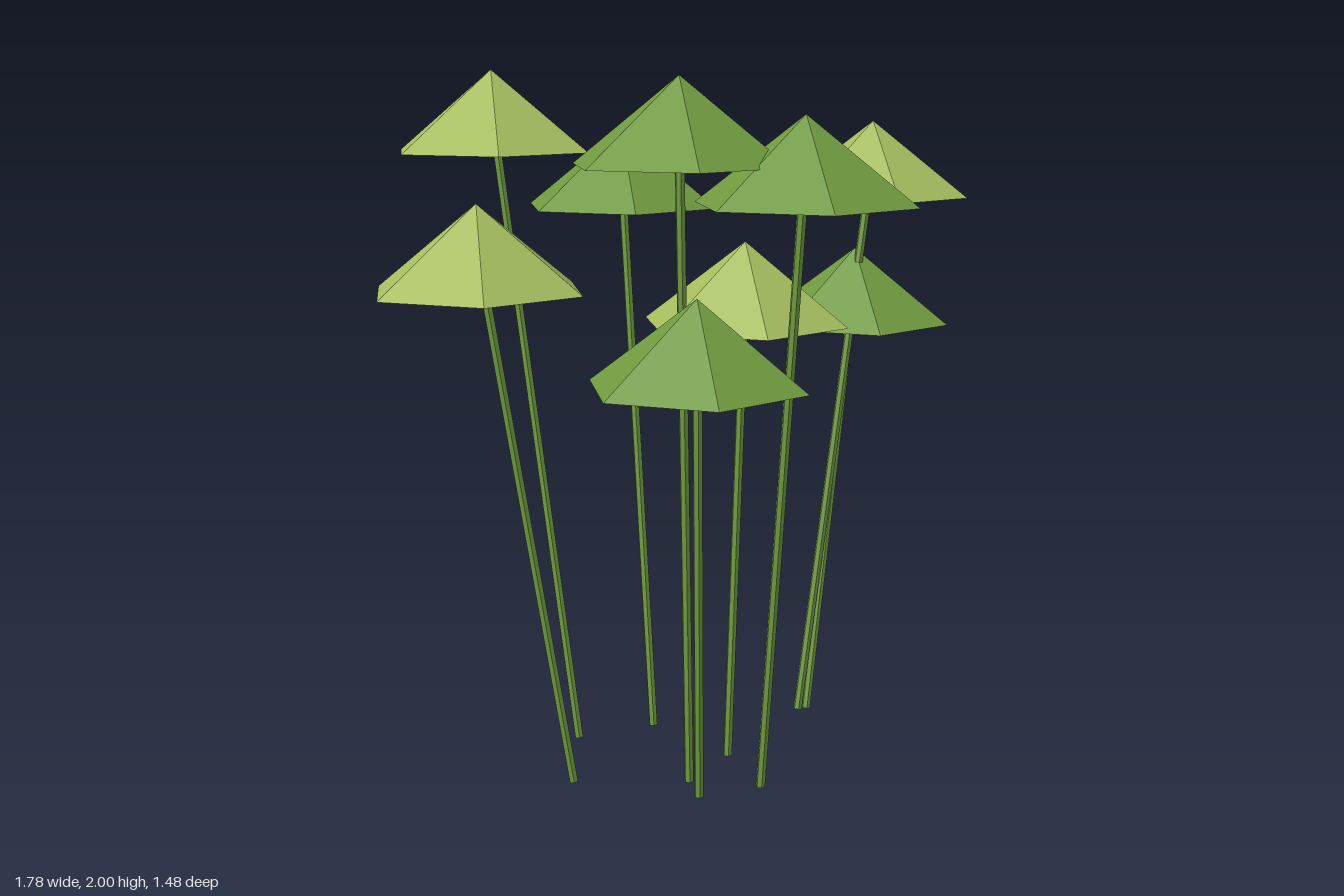
import * as THREE from 'three';

const CAP_RADIUS = 0.302;
const CAP_HEIGHT = 0.23;
const STEM_RADIUS = 0.0135;

// Each plant: cap tip [x, y, z], stem foot [x, z], cap colour
const PLANTS = [
  { tip: [-0.555, 2.0, -0.297], foot: [-0.353, -0.135], cap: 'light' },
  { tip: [-0.628, 1.662, 0.185], foot: [-0.4, 0.167], cap: 'light' },
  { tip: [-0.106, 1.99, 0.28], foot: [-0.073, 0.225], cap: 'dark' },
  { tip: [0.203, 1.893, 0.39], foot: [0.122, 0.295], cap: 'dark' },
  { tip: [-0.172, 1.83, -0.37], foot: [-0.115, -0.185], cap: 'dark' },
  { tip: [0.122, 1.532, 0.035], foot: [0.07, 0.073], cap: 'light' },
  { tip: [-0.088, 1.435, 0.44], foot: [-0.062, 0.325], cap: 'dark' },
  { tip: [0.625, 1.843, -0.44], foot: [0.358, -0.225], cap: 'light' },
  { tip: [0.575, 1.45, -0.44], foot: [0.386, -0.228], cap: 'dark' },
];

export function createModel() {
  const material = (name, color) =>
    Object.assign(new THREE.MeshStandardMaterial({ color, flatShading: true }), { name });
  const light = material('light green', 0xa6bd5e);
  const dark = material('leaf green', 0x6f9a40);

  const capGeometry = new THREE.ConeGeometry(CAP_RADIUS, CAP_HEIGHT, 6);
  capGeometry.translate(0, -CAP_HEIGHT / 2, 0); // origin at the tip
  const up = new THREE.Vector3(0, 1, 0);

  const model = new THREE.Group();
  model.name = 'plantCluster';

  PLANTS.forEach(({ tip, foot, cap }, i) => {
    const plant = new THREE.Group();
    plant.name = `plant${i + 1}`;

    // Six-sided upright cap
    const capMesh = new THREE.Mesh(capGeometry, cap === 'light' ? light : dark);
    capMesh.name = 'cap';
    capMesh.position.set(...tip);

    // Thin stem leaning from the ground to the inside of the cap
    const start = new THREE.Vector3(foot[0], 0.003, foot[1]);
    const end = new THREE.Vector3(tip[0], tip[1] - 0.12, tip[2]);
    const axis = end.clone().sub(start);
    const stem = new THREE.Mesh(
      new THREE.CylinderGeometry(STEM_RADIUS, STEM_RADIUS, axis.length(), 6), dark);
    stem.name = 'stem';
    stem.position.copy(start).lerp(end, 0.5);
    stem.quaternion.setFromUnitVectors(up, axis.normalize());

    plant.add(capMesh, stem);
    model.add(plant);
  });

  return model;
}
